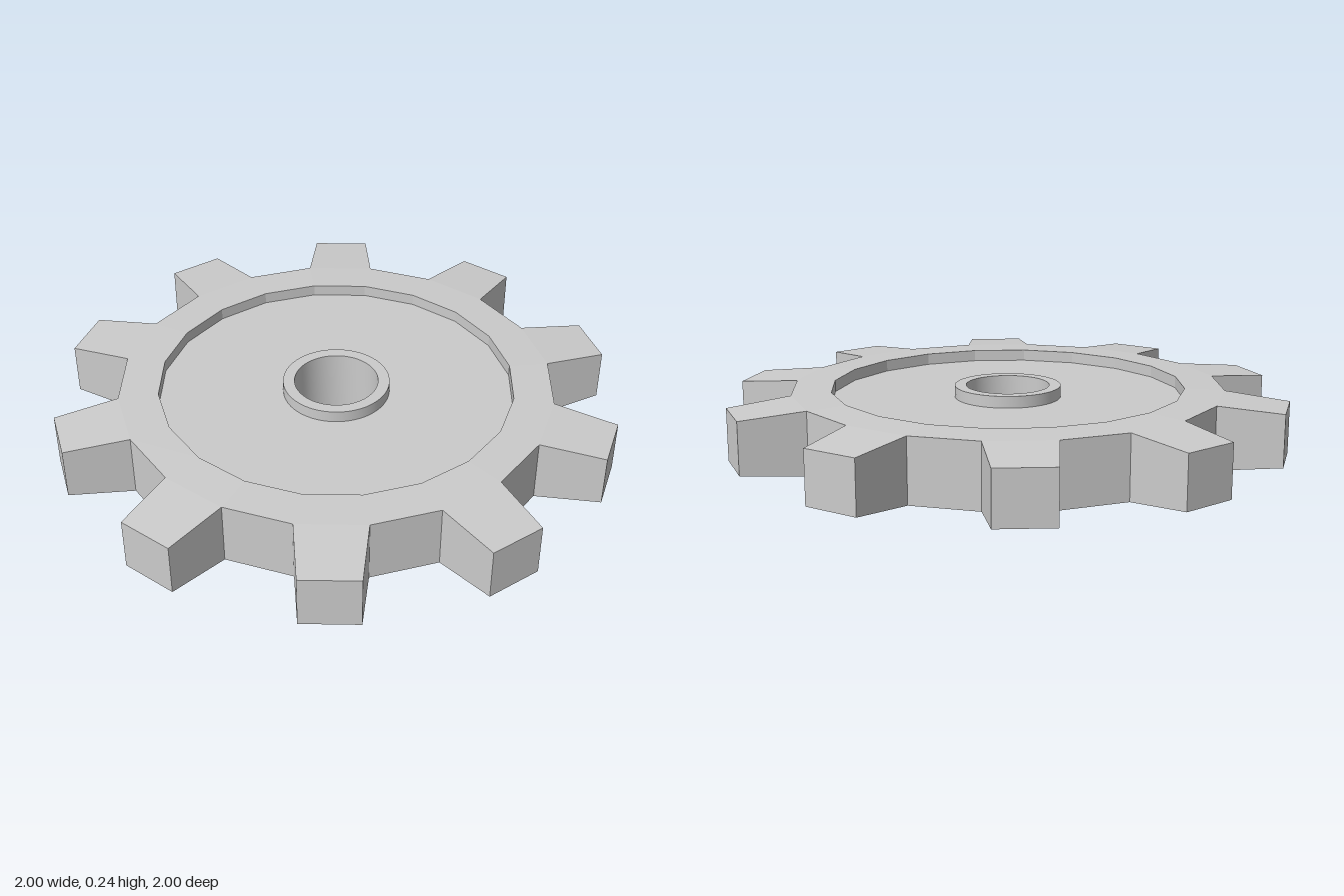
import * as THREE from 'three';
import { toCreasedNormals } from 'three/addons/utils/BufferGeometryUtils.js';

const TEETH = 10;
const STEP = Math.PI / TEETH; // one sector: alternately tooth and gap
const MID = 0.118; // height of the middle plane
const R = { hole: 0.15, hub: 0.191, rim: 0.635, root: 0.777, tip: 1.003 };
const H = { web: 0.076, hub: 0.118, rim: 0.118, root: 0.114, tip: 0.094 }; // half thicknesses
const TIP_INSET = STEP * 0.178; // teeth narrow towards the tip

const polar = (r, a, y) => [r * Math.cos(a), MID + y, r * Math.sin(a)];

function fromQuads(quads) {
  const pos = [];
  for (const [a, b, c, d] of quads) pos.push(...a, ...b, ...c, ...a, ...c, ...d);
  const g = new THREE.BufferGeometry();
  g.setAttribute('position', new THREE.Float32BufferAttribute(pos, 3));
  g.computeVertexNormals();
  return g;
}

// Sweeps profile points [radius, y, inset] from angle a0 to a1
function sector(quads, profile, a0, a1, closed) {
  const n = profile.length;
  for (let i = 0; i < (closed ? n : n - 1); i++) {
    const [r, y, s = 0] = profile[i];
    const [r2, y2, s2 = 0] = profile[(i + 1) % n];
    quads.push([polar(r, a0 + s, y), polar(r, a1 - s, y), polar(r2, a1 - s2, y2), polar(r2, a0 + s2, y2)]);
  }
}

export function createModel() {
  const group = new THREE.Group();
  const material = new THREE.MeshStandardMaterial({ color: 0xcccccc });
  const add = (name, geometry) => {
    const mesh = new THREE.Mesh(geometry, material);
    mesh.name = name;
    group.add(mesh);
  };

  // Toothed rim, with a tooth on every other sector
  const rim = [];
  const web = [];
  for (let i = 0; i < TEETH * 2; i++) {
    const a0 = i * STEP, a1 = a0 + STEP;
    const tooth = i % 2 === 0;
    const tip = tooth ? [[R.tip, H.tip, TIP_INSET], [R.tip, -H.tip, TIP_INSET]] : [];
    sector(rim, [[R.rim, H.rim], [R.root, H.root], ...tip, [R.root, -H.root], [R.rim, -H.rim]], a0, a1, true);
    if (tooth) {
      // flanks of the tooth
      const flank = (a, s) => [
        polar(R.root, a, H.root), polar(R.tip, a + s, H.tip),
        polar(R.tip, a + s, -H.tip), polar(R.root, a, -H.root),
      ];
      rim.push(flank(a0, TIP_INSET), flank(a1, -TIP_INSET).reverse());
    }
    // recessed web, top and underside
    sector(web, [[R.hub - 0.01, H.web], [R.rim, H.web]], a0, a1, false);
    sector(web, [[R.rim, -H.web], [R.hub - 0.01, -H.web]], a0, a1, false);
  }
  add('toothedRim', fromQuads(rim));
  add('web', fromQuads(web));

  // Hub ring around the axle hole
  const ring = [[R.hub, -1], [R.hub, 1], [R.hole, 1], [R.hole, -1], [R.hub, -1]]
    .map(([r, s]) => new THREE.Vector2(r, MID + s * H.hub));
  add('hub', toCreasedNormals(new THREE.LatheGeometry(ring, 48), 0.6));

  return group;
}
